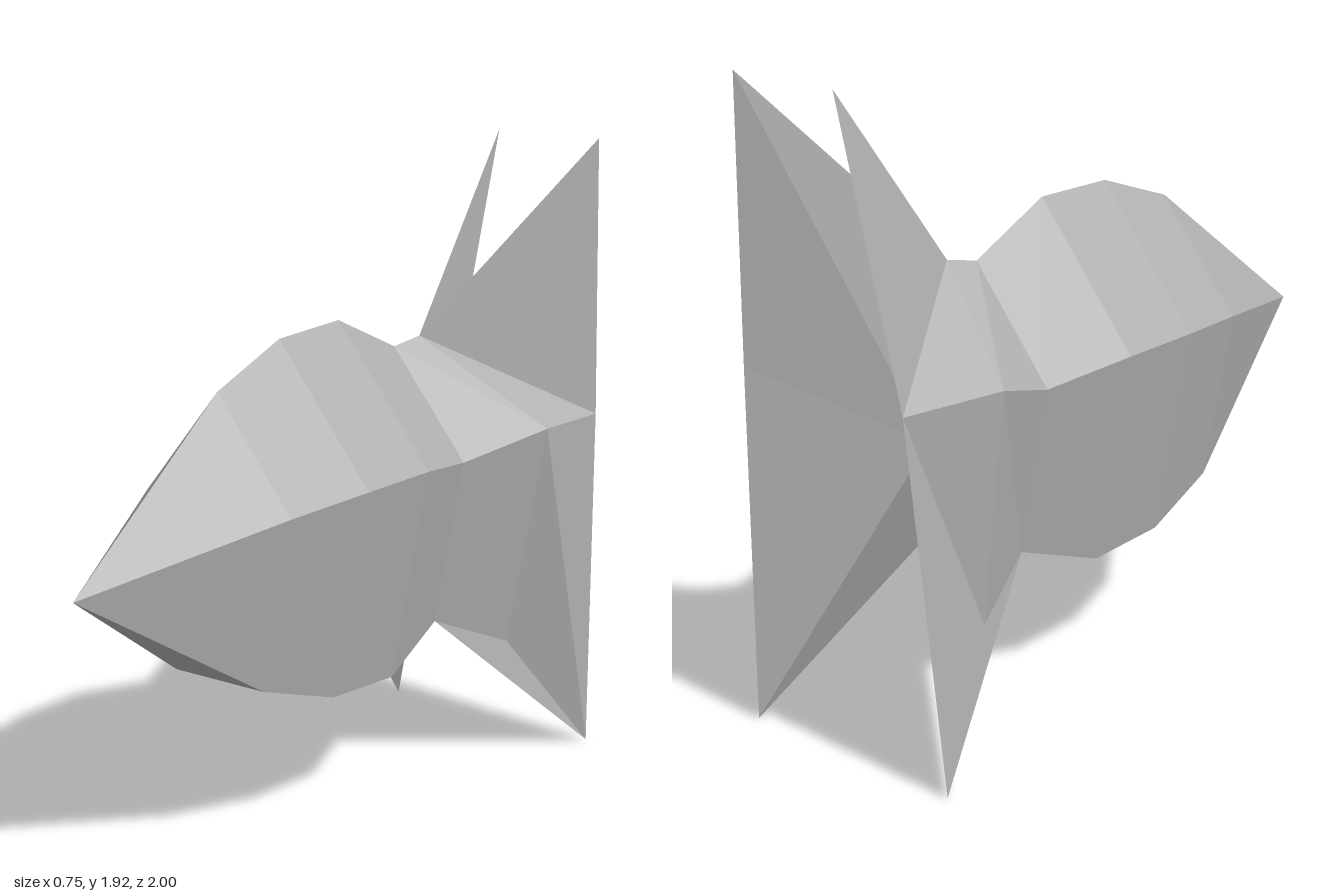
import * as THREE from 'three';

const grey = new THREE.MeshStandardMaterial({ color: 0xb0b0b0, flatShading: true });
grey.name = 'plain grey';

// Makes a faceted mesh from polygons, each a list of corner points
function facetMesh(name, polygons) {
  const positions = [];
  for (const p of polygons) {
    for (let i = 1; i < p.length - 1; i++) positions.push(...p[0], ...p[i], ...p[i + 1]);
  }
  const geometry = new THREE.BufferGeometry();
  geometry.setAttribute('position', new THREE.Float32BufferAttribute(positions, 3));
  geometry.computeVertexNormals();
  const mesh = new THREE.Mesh(geometry, grey);
  mesh.name = name;
  return mesh;
}

// Five-sided cross-section: ridge, right side, right keel, left keel, left side
const section = (z, top, mid, bottom, w, b) => [
  [-0.003, top, z], [-w - 0.003, mid, z], [-b - 0.003, bottom, z],
  [b - 0.003, bottom, z], [w - 0.003, mid, z],
];

export function createModel() {
  const group = new THREE.Group();
  group.name = 'fish';

  // Body, from nose to tail root
  const nose = [-0.003, 0.865, 1];
  const sections = [
    section(0.395, 1.335, 1.01, 0.485, 0.265, 0.163),
    section(0.12, 1.44, 1.04, 0.402, 0.325, 0.2),
    section(-0.155, 1.45, 1.045, 0.393, 0.332, 0.205),
    section(-0.43, 1.325, 1.005, 0.49, 0.262, 0.162),
  ];
  const body = [];
  for (let k = 0; k < 5; k++) {
    const n = (k + 1) % 5;
    body.push([nose, sections[0][k], sections[0][n]]);
    for (let i = 0; i < 3; i++) {
      const f = sections[i], r = sections[i + 1];
      body.push([f[k], r[k], r[n], f[n]]);
    }
  }
  group.add(facetMesh('body', body));

  // Tail lobes spread from a shared inner edge (crotch to fork)
  const root = sections[3];
  const crotch = [0.02, 1.345, -0.525];
  const fork = [0.02, 0.83, -0.61];
  function tailLobe(name, flip, side, keel, { flank, lower, back, upTip, downTip }) {
    const faces = [
      [root[0], side, flank], [root[0], flank, crotch], [crotch, flank, back], // shoulder
      [crotch, back, upTip],                                                  // upper fin
      [side, keel, lower, flank], [flank, lower, downTip, back],              // outer wall
      [keel, downTip, lower],                                                 // lower edge
      [crotch, upTip, fork], [upTip, back, fork],                             // inner wall
      [back, downTip, fork], [downTip, keel, fork],
    ];
    group.add(facetMesh(name, flip ? faces.map((f) => [...f].reverse()) : faces));
  }
  tailLobe('leftTailLobe', false, root[4], root[3], {
    flank: [0.375, 1.075, -0.7], lower: [0.24, 0.375, -0.7],
    back: [0.37, 1.07, -0.975], upTip: [0.34, 1.92, -1], downTip: [0.365, 0, -0.975],
  });
  tailLobe('rightTailLobe', true, root[1], root[2], {
    flank: [-0.33, 1.085, -0.68], lower: [-0.25, 0.375, -0.68],
    back: [-0.24, 1.07, -0.975], upTip: [-0.01, 1.92, -0.975], downTip: [-0.38, 0, -0.975],
  });

  // Underside closing the tail root
  group.add(facetMesh('tailUnderside', [[fork, root[3], root[2]]]));
  return group;
}
